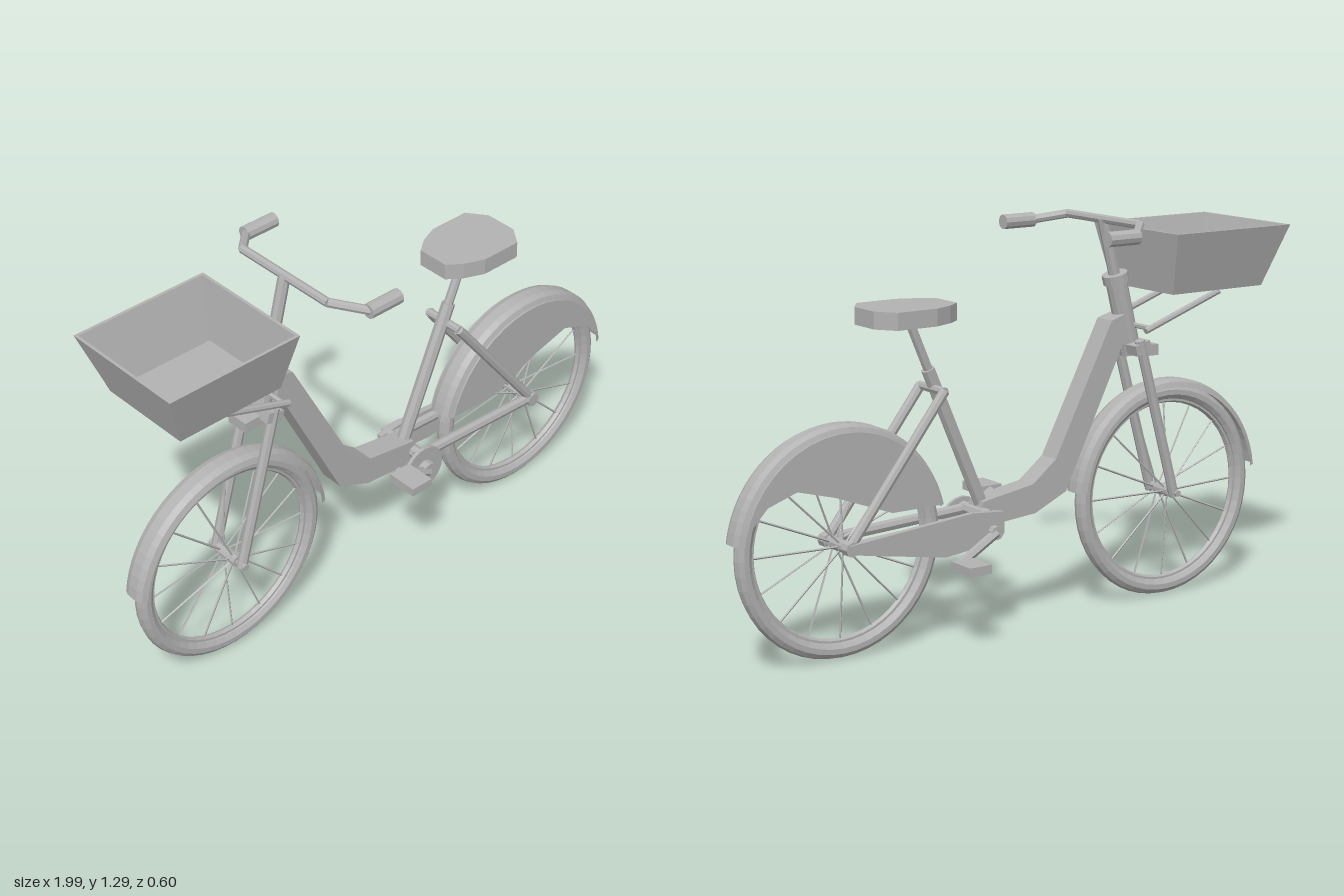
import * as THREE from 'three';

const grey = new THREE.MeshStandardMaterial({ color: 0xb2b2b2, flatShading: true, side: THREE.DoubleSide });
grey.name = 'plain grey';

const V = (x, y, z = 0) => new THREE.Vector3(x, y, z);
const HUB_Y = 0.357, WHEEL_X = 0.626, RAD = Math.PI / 180;

export function createModel() {
  const bike = new THREE.Group();
  bike.name = 'bicycle';

  const add = (name, geometry, parent = bike) => {
    const mesh = new THREE.Mesh(geometry, grey);
    mesh.name = name;
    parent.add(mesh);
    return mesh;
  };
  // Straight tube between two points
  const rod = (name, a, b, r, sides = 8, parent = bike, r2 = r) => {
    const mesh = add(name, new THREE.CylinderGeometry(r2, r, a.distanceTo(b), sides), parent);
    mesh.position.copy(a).add(b).multiplyScalar(0.5);
    mesh.quaternion.setFromUnitVectors(V(0, 1, 0), b.clone().sub(a).normalize());
    return mesh;
  };
  const box = (name, w, h, d, x, y, z, parent = bike) => {
    const mesh = add(name, new THREE.BoxGeometry(w, h, d), parent);
    mesh.position.set(x, y, z);
    return mesh;
  };
  // Side outline given depth along z, centred on zc
  const slab = (name, pts, depth, zc, parent = bike) => {
    const shape = new THREE.Shape(pts.map(([x, y]) => new THREE.Vector2(x, y)));
    const geo = new THREE.ExtrudeGeometry(shape, { depth, bevelEnabled: false });
    geo.translate(0, 0, zc - depth / 2);
    return add(name, geo, parent);
  };

  // Wheels: tyre, rim, hub, spokes and mudguard
  const fenderProfile = [[0.348, -0.045], [0.366, -0.038], [0.374, -0.018], [0.374, 0.018], [0.366, 0.038], [0.348, 0.045]]
    .map(([r, z]) => new THREE.Vector2(r, z));
  const makeWheel = (name, x, a0, a1) => {
    const wheel = new THREE.Group();
    wheel.name = name;
    wheel.position.set(x, HUB_Y, 0);
    bike.add(wheel);
    add('tyre', new THREE.TorusGeometry(0.329, 0.027, 10, 48), wheel);
    add('rim', new THREE.TorusGeometry(0.304, 0.012, 6, 48), wheel);
    rod('hub', V(0, 0, -0.045), V(0, 0, 0.045), 0.02, 10, wheel);
    rod('axle', V(0, 0, -0.085), V(0, 0, 0.085), 0.011, 8, wheel);
    for (let i = 0; i < 16; i++) {
      const a = i * Math.PI / 8, z = i % 2 ? 0.025 : -0.025;
      rod('spoke', V(0.015 * Math.cos(a), 0.015 * Math.sin(a), z),
        V(0.3 * Math.cos(a), 0.3 * Math.sin(a), 0), 0.0035, 4, wheel);
    }
    const fender = add('mudguard',
      new THREE.LatheGeometry(fenderProfile, 28, (a0 + 90) * RAD, (a1 - a0) * RAD), wheel);
    fender.rotation.x = Math.PI / 2;
    return wheel;
  };
  makeWheel('frontWheel', -WHEEL_X, 6, 173);
  const rearWheel = makeWheel('rearWheel', WHEEL_X, 8, 167);

  // Skirt guards beside the rear wheel
  const guard = [];
  for (let a = 14; a <= 166; a += 8) guard.push([0.352 * Math.cos(a * RAD), 0.352 * Math.sin(a * RAD)]);
  guard.push([-0.16, 0.085], [0.04, 0.16], [0.17, 0.195], [0.27, 0.16]);
  for (const s of [-1, 1]) slab('skirtGuard', guard, 0.006, s * 0.05, rearWheel);

  // Step-through main beam
  slab('mainBeam', [[-0.445, 0.88], [-0.43, 0.965], [-0.38, 0.95], [-0.16, 0.525], [-0.07, 0.455], [0.12, 0.425],
    [0.14, 0.35], [0.04, 0.35], [-0.08, 0.36], [-0.2, 0.415], [-0.425, 0.87]], 0.076, 0);

  // Head tube, collar and stem
  rod('headTube', V(-0.486, 0.83), V(-0.42, 1.09), 0.035, 12);
  rod('headCollar', V(-0.426, 1.065), V(-0.418, 1.095), 0.043, 12);
  rod('stem', V(-0.42, 1.08), V(-0.37, 1.275), 0.019, 8);

  // Fork, crown and lamp
  const crown = box('forkCrown', 0.06, 0.035, 0.15, -0.482, 0.855, 0);
  crown.rotation.z = -0.27;
  for (const s of [-1, 1]) rod('forkLeg', V(-WHEEL_X, 0.345, s * 0.062), V(-0.475, 0.88, s * 0.062), 0.017, 8);
  box('lamp', 0.07, 0.036, 0.08, -0.535, 0.838, 0);

  // Handlebar and grips
  rod('handlebarMiddle', V(-0.37, 1.273, -0.19), V(-0.37, 1.273, 0.19), 0.014, 8);
  for (const s of [-1, 1]) {
    rod('handlebarBend', V(-0.37, 1.273, s * 0.188), V(-0.285, 1.25, s * 0.275), 0.014, 8);
    rod('grip', V(-0.293, 1.25, s * 0.275), V(-0.175, 1.25, s * 0.275), 0.024, 10);
  }

  // Open basket: a thin shell of four flared walls and a floor
  const corners = (x0, x1, y, z) => [[x0, y, -z], [x0, y, z], [x1, y, z], [x1, y, -z]];
  const rings = [corners(-0.9, -0.53, 1.035, 0.16), corners(-0.97, -0.5, 1.235, 0.217),
    corners(-0.96, -0.51, 1.235, 0.207), corners(-0.892, -0.538, 1.043, 0.152)];
  const index = [0, 2, 1, 0, 3, 2, 12, 13, 14, 12, 14, 15];
  for (let r = 0; r < 3; r++) for (let i = 0; i < 4; i++) {
    const a = r * 4 + i, b = r * 4 + (i + 1) % 4;
    index.push(a, b, b + 4, a, b + 4, a + 4);
  }
  const basket = new THREE.BufferGeometry();
  basket.setAttribute('position', new THREE.Float32BufferAttribute(rings.flat(2), 3));
  basket.setIndex(index);
  basket.computeVertexNormals();
  add('basket', basket);
  for (const s of [-1, 1]) rod('basketStrut', V(-0.76, 1.022, s * 0.11), V(-0.46, 0.918, s * 0.11), 0.011, 8);
  rod('basketCrossbar', V(-0.48, 0.925, -0.11), V(-0.48, 0.925, 0.11), 0.009, 6);

  // Seat tube, post and saddle
  rod('seatTube', V(0.1, 0.4), V(0.3, 0.86), 0.022, 8);
  rod('seatPost', V(0.28, 0.815), V(0.368, 1.02), 0.015, 8);
  const half = [[0.228, 0.055], [0.275, 0.09], [0.34, 0.117], [0.48, 0.117], [0.525, 0.055]];
  const saddle = slab('saddle', [...half, ...half.map(([x, z]) => [x, -z]).reverse()], 0.054, 0);
  saddle.rotation.x = -Math.PI / 2;
  saddle.position.y = 1.038;

  // Rear stays
  for (const s of [-1, 1]) {
    rod('seatStay', V(WHEEL_X, 0.36, s * 0.066), V(0.282, 0.8, s * 0.066), 0.016, 8);
    rod('chainStay', V(0.1, 0.385, s * 0.066), V(WHEEL_X, 0.36, s * 0.066), 0.018, 8);
    rod('dropout', V(WHEEL_X, HUB_Y, s * 0.05), V(WHEEL_X, HUB_Y, s * 0.085), 0.024, 8);
  }
  rod('stayBridge', V(0.284, 0.798, -0.07), V(0.284, 0.798, 0.07), 0.014, 8);
  rod('stayBracket', V(0.12, 0.385, -0.075), V(0.12, 0.385, 0.075), 0.022, 8);

  // Chain cover on the far side
  slab('chainCover', [[0.08, 0.4], [0.2, 0.41], [0.64, 0.372], [0.64, 0.345], [0.3, 0.285], [0.16, 0.3], [0.08, 0.33]], 0.02, -0.083);

  // Cranks, disc and pedals
  const bx = 0.12, by = 0.34;
  rod('crankAxle', V(bx, by, -0.115), V(bx, by, 0.115), 0.022, 10);
  rod('crankDisc', V(bx, by, 0.076), V(bx, by, 0.088), 0.08, 20);
  rod('crankHub', V(bx, by, 0.086), V(bx, by, 0.115), 0.034, 12);
  for (const s of [-1, 1]) {
    const px = bx - s * 0.136, py = by + s * 0.076;
    rod('crankArm', V(bx, by, s * 0.108), V(px, py, s * 0.112), 0.015, 6);
    box('pedal', 0.08, 0.028, 0.105, px, py, s * 0.168);
  }

  return bike;
}
